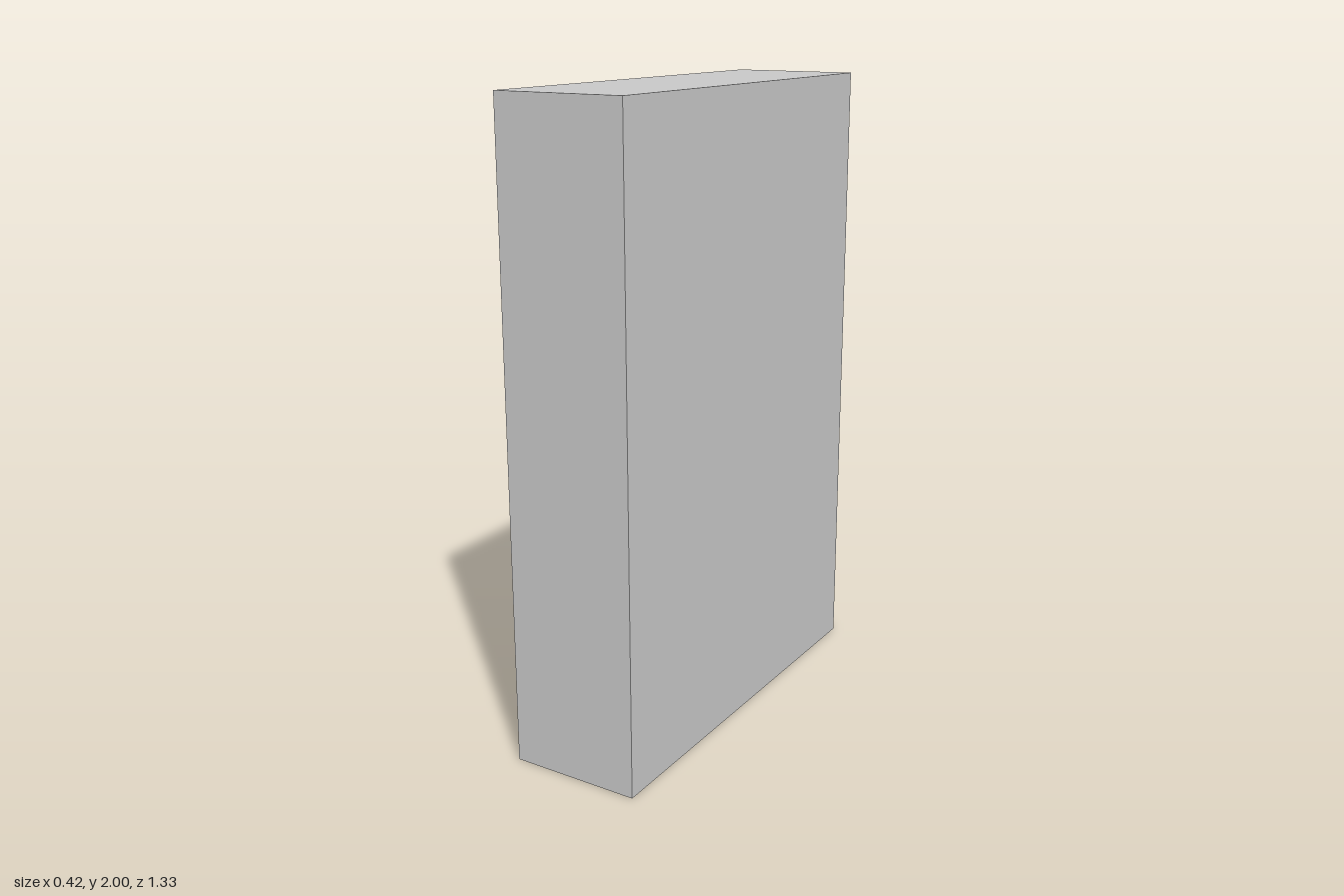
import * as THREE from 'three';

export function createModel() {
  const model = new THREE.Group();
  model.name = 'cabinet';
  const grey = new THREE.MeshStandardMaterial({ color: 0xc8c8c8 });
  grey.name = 'grey panel';
  const wood = new THREE.MeshStandardMaterial({ color: 0xcf9c74 });
  wood.name = 'wood trim';

  // Box given by its min and max on each axis
  function box(name, mat, x0, x1, y0, y1, z0, z1) {
    const mesh = new THREE.Mesh(new THREE.BoxGeometry(x1 - x0, y1 - y0, z1 - z0), mat);
    mesh.position.set((x0 + x1) / 2, (y0 + y1) / 2, (z0 + z1) / 2);
    mesh.name = name;
    model.add(mesh);
  }

  const X = 0.208, Z = 0.665; // half depth and half width; the doors face -x
  const inner = 0.65;         // inside face of the side panels
  const face = -0.175;        // front plane of doors and drawers
  const gap = 0.003;

  // Carcass
  for (const s of [-1, 1]) {
    box('sidePanel', grey, -X, X, 0, 2, Math.min(s * inner, s * Z), Math.max(s * inner, s * Z));
    const a = s * inner, b = s * 0.64;
    box('sideFiller', grey, -0.193, face + 0.02, 0.012, 1.98, Math.min(a, b), Math.max(a, b));
  }
  box('topPanel', grey, -X, X, 1.98, 2, -inner, inner);
  box('bottomPanel', grey, -0.185, X, 0, 0.012, -inner, inner);
  box('backPanel', grey, 0.19, X, 0.012, 1.98, -inner, inner);

  // Open niche: shelf, ceiling and back, with wooden front edges
  box('nicheShelf', grey, face, 0.19, 0.517, 0.55, -inner, inner);
  box('nicheCeiling', grey, face, 0.19, 0.81, 0.843, -inner, inner);
  box('nicheBack', grey, 0.125, 0.14, 0.55, 0.81, -inner, inner);
  for (const y of [0.517, 0.81]) {
    box('shelfEdge', wood, -0.19, face, y, y + 0.033, -0.645, 0.645);
  }

  // Three tall doors with upright handles
  const width = 1.28 / 3;
  const handleZ = [-0.267, -0.167, 0.27];
  for (let i = 0; i < 3; i++) {
    const z0 = -0.64 + i * width;
    box('door', grey, face, face + 0.018, 0.846, 1.977, z0 + gap, z0 + width - gap);
    box('doorHandle', wood, -0.197, face, 0.904, 1.348, handleZ[i] - 0.011, handleZ[i] + 0.011);
  }
  // Dark hollow behind the joints is closed off
  box('doorBacking', grey, face + 0.018, face + 0.024, 0.843, 1.98, -inner, inner);

  // Two wide drawers with level handles
  for (const [y0, y1, h] of [[0.02, 0.272, 0.21], [0.272, 0.517, 0.48]]) {
    box('drawer', grey, face, face + 0.018, y0 + gap, y1 - gap, -0.64 + gap, 0.64 - gap);
    box('drawerHandle', wood, -0.197, face, h - 0.009, h + 0.009, -0.17, 0.225);
  }
  box('drawerBacking', grey, face + 0.018, face + 0.024, 0.012, 0.517, -inner, inner);

  return model;
}
